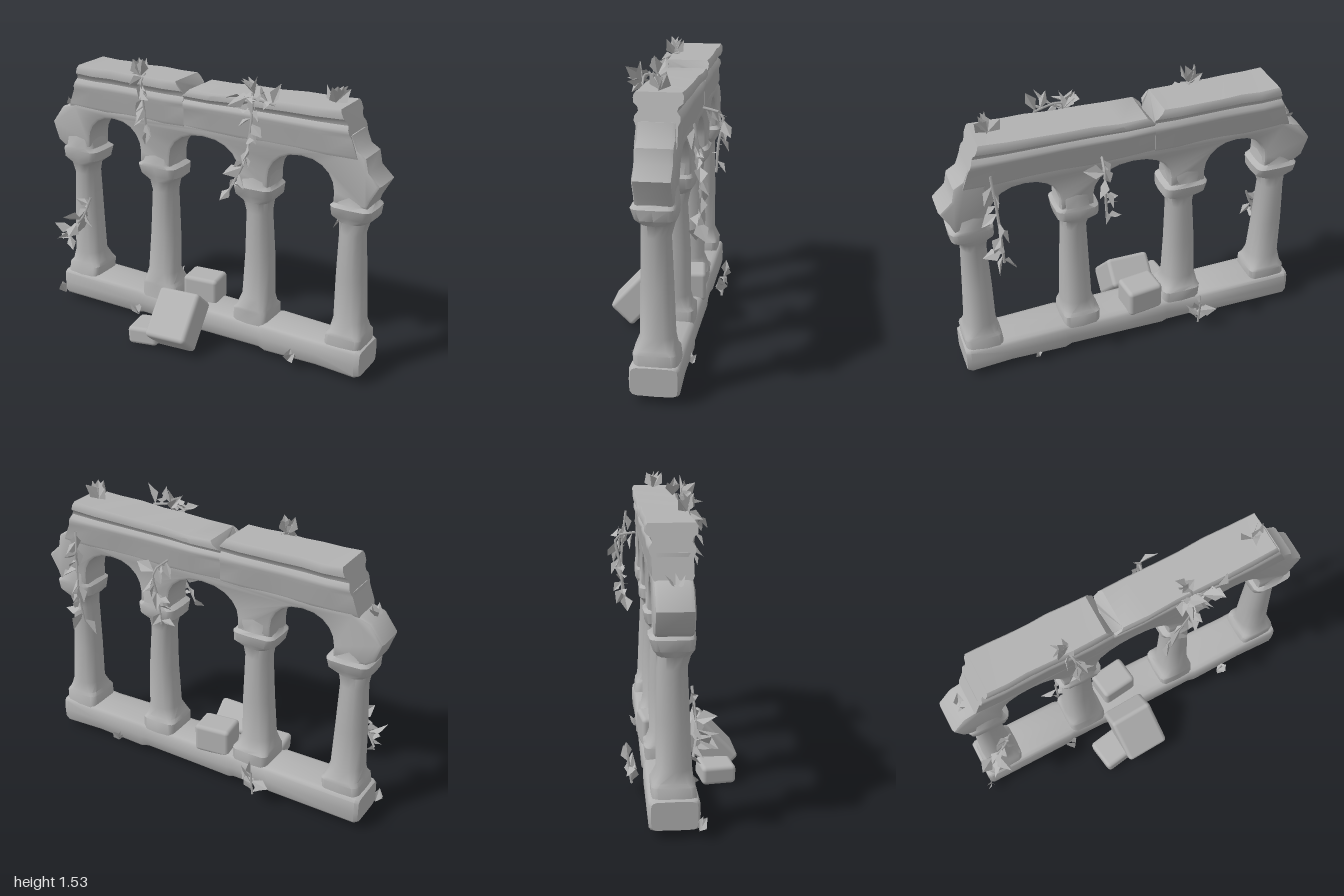
import * as THREE from 'three';
import { mergeGeometries, toCreasedNormals } from 'three/addons/utils/BufferGeometryUtils.js';
import { RoundedBoxGeometry } from 'three/addons/geometries/RoundedBoxGeometry.js';

const ZC = -0.045; // middle plane of the wall

let seed = 7;
const rand = () => (seed = (seed * 16807) % 2147483647) / 2147483647;
const spread = (a) => (rand() * 2 - 1) * a;

// Loft of rounded-square sections [height, halfX, halfZ, roundness, offsetX, offsetZ]
function loft(sections, n = 16) {
  const pos = [], idx = [];
  const bend = (v, e) => Math.sign(v) * Math.pow(Math.abs(v), e);
  for (const [y, hx, hz, e, ox = 0, oz = 0] of sections) {
    for (let i = 0; i < n; i++) {
      const a = (i / n) * Math.PI * 2;
      pos.push(ox + hx * bend(Math.cos(a), e), y, oz + hz * bend(Math.sin(a), e));
    }
  }
  const last = (sections.length - 1) * n;
  for (const s of [sections[0], sections[sections.length - 1]]) pos.push(s[4] || 0, s[0], s[5] || 0);
  for (let i = 0; i < n; i++) {
    const j = (i + 1) % n;
    for (let r = 0; r < last; r += n) {
      idx.push(r + i, r + n + i, r + j, r + j, r + n + i, r + n + j);
    }
    idx.push(last + n, i, j, last + n + 1, last + j, last + i);
  }
  const g = new THREE.BufferGeometry();
  g.setAttribute('position', new THREE.Float32BufferAttribute(pos, 3));
  g.setIndex(idx);
  return toCreasedNormals(g, 0.75);
}

// Move every vertex by a rule, then rebuild normals
function reshape(g, rule) {
  const p = g.attributes.position, v = new THREE.Vector3();
  for (let i = 0; i < p.count; i++) {
    rule(v.fromBufferAttribute(p, i));
    p.setXYZ(i, v.x, v.y, v.z);
  }
  return toCreasedNormals(g, 0.75);
}

// Folded diamond leaf pointing along a direction
function leafGeometry(at, dir, size) {
  const w = size * (0.22 + rand() * 0.14), f = size * 0.16;
  const g = new THREE.BufferGeometry();
  g.setAttribute('position', new THREE.Float32BufferAttribute([
    0, 0, 0, 0, size, 0, -w, size * 0.45, f,
    0, 0, 0, w, size * 0.45, f, 0, size, 0], 3));
  g.computeVertexNormals();
  g.rotateY(rand() * Math.PI * 2);
  g.applyQuaternion(new THREE.Quaternion().setFromUnitVectors(new THREE.Vector3(0, 1, 0), dir.normalize()));
  return g.translate(at.x, at.y, at.z);
}

// Stem along a few points, with leaves leaning towards a bias direction
function vineGeometry(points, count, size, bias) {
  const curve = new THREE.CatmullRomCurve3(points.map((p) => new THREE.Vector3(...p)));
  const stem = new THREE.TubeGeometry(curve, 10, 0.007, 4).toNonIndexed();
  stem.deleteAttribute('uv');
  const parts = [stem];
  for (let i = 0; i < count; i++) {
    const dir = new THREE.Vector3(bias[0] + spread(0.9), bias[1] + spread(0.7), bias[2] + spread(0.4));
    parts.push(leafGeometry(curve.getPoint((i + 0.5) / count), dir, size * (0.75 + rand() * 0.5)));
  }
  return mergeGeometries(parts);
}

export function createModel() {
  const model = new THREE.Group();
  const stone = new THREE.MeshStandardMaterial({ color: 0xb2b2b2, side: THREE.DoubleSide });
  stone.name = 'grey stone';
  const add = (name, geometry, x = 0, y = 0, z = 0) => {
    const mesh = new THREE.Mesh(geometry, stone);
    mesh.name = name;
    mesh.position.set(x, y, z);
    model.add(mesh);
    return mesh;
  };

  // Long footing, slightly uneven from stone to stone
  const footing = loft([
    [-0.94, 0.07, 0.11, 0.3], [-0.92, 0.079, 0.122, 0.3], [-0.42, 0.079, 0.12, 0.36],
    [-0.39, 0.072, 0.113, 0.4], [-0.2, 0.074, 0.115, 0.45], [-0.17, 0.079, 0.12, 0.4],
    [0.06, 0.076, 0.118, 0.42], [0.36, 0.074, 0.116, 0.45], [0.4, 0.08, 0.122, 0.34],
    [0.7, 0.076, 0.118, 0.4], [0.92, 0.08, 0.122, 0.3], [0.945, 0.07, 0.112, 0.3]]);
  add('footing', footing.rotateZ(-Math.PI / 2), 0, 0.118, ZC);

  // Columns: plinth, tapering shaft, flared capital and springing stone
  const columnProfile = [
    [0.17, 0.108, 0.108, 0.35], [0.245, 0.106, 0.106, 0.35], [0.262, 0.095, 0.1, 0.5],
    [0.32, 0.088, 0.085, 0.85], [0.55, 0.08, 0.08, 0.9], [0.8, 0.069, 0.072, 0.9],
    [0.86, 0.078, 0.08, 0.8], [0.895, 0.115, 0.098, 0.45], [0.948, 0.118, 0.108, 0.4],
    [0.965, 0.095, 0.1, 0.5], [1.02, 0.088, 0.093, 0.45], [1.08, 0.085, 0.082, 0.4]];
  [[-0.82, 1], [-0.293, 1.03], [0.297, 0.97], [0.833, 0.96]].forEach(([x, s], k) => {
    const rows = columnProfile.map(([y, hx, hz, e], i) =>
      [y, hx * s, hz, e, 0.006 * Math.sin(k * 2 + i), 0.005 * Math.cos(k + i * 2)]);
    add('column', loft(rows), x, 0, ZC);
  });

  // Arcade wall: broken outer edge, three arches cut from below
  const wall = new THREE.Shape();
  wall.moveTo(-0.91, 0.96);
  for (const [l, r] of [[-0.735, -0.395], [-0.205, 0.21], [0.385, 0.745]]) {
    const c = (l + r) / 2, h = (r - l) / 2;
    wall.lineTo(l, 0.96);
    wall.lineTo(l, 1.02);
    for (let i = 1; i < 10; i++) {
      const a = Math.PI * (1 - i / 10);
      wall.lineTo(c + h * Math.sign(Math.cos(a)) * Math.pow(Math.abs(Math.cos(a)), 0.9), 1.02 + 0.147 * Math.sin(a));
    }
    wall.lineTo(r, 1.02);
    wall.lineTo(r, 0.96);
  }
  [[0.925, 0.96], [0.94, 1.0], [0.99, 1.09], [0.925, 1.15], [0.91, 1.22], [0.86, 1.25], [0.83, 1.32],
    [-0.82, 1.32], [-0.84, 1.21], [-0.92, 1.185], [-0.99, 1.09], [-0.955, 0.99]]
    .forEach(([x, y]) => wall.lineTo(x, y));
  const wallGeometry = new THREE.ExtrudeGeometry(wall, {
    depth: 0.14, bevelThickness: 0.022, bevelSize: 0.016, bevelOffset: -0.016, bevelSegments: 2 });
  add('arcadeWall', toCreasedNormals(wallGeometry, 0.75), 0, 0, ZC - 0.07);

  // Entablature: moulded profile, two stones split by a notch, slanting broken ends
  const profile = new THREE.Shape([
    [-0.088, 1.2], [-0.098, 1.22], [-0.096, 1.3], [-0.108, 1.325], [-0.106, 1.345], [-0.09, 1.365],
    [-0.096, 1.385], [-0.116, 1.4], [-0.118, 1.432], [-0.108, 1.447],
    [0.108, 1.447], [0.118, 1.432], [0.116, 1.4], [0.096, 1.385], [0.09, 1.365], [0.106, 1.345],
    [0.108, 1.325], [0.096, 1.3], [0.098, 1.22], [0.088, 1.2]].map((p) => new THREE.Vector2(...p)));
  const notch = (y) => Math.max(0, y - 1.395);
  const stones = [
    { left: (y) => -0.86 + 0.36 * (y - 1.2), right: (y) => -0.11 - 0.8 * notch(y), drop: 0 },
    { left: (y) => -0.11 + 0.9 * notch(y), right: (y) => 0.87 - 0.38 * (y - 1.2), drop: 0.03 }];
  for (const { left, right, drop } of stones) {
    const g = new THREE.ExtrudeGeometry(profile, { depth: 1, steps: 6, bevelEnabled: false }).rotateY(Math.PI / 2);
    add('entablature', reshape(g, (v) => {
      const t = v.x, lift = THREE.MathUtils.smoothstep(v.y, 1.3, 1.45);
      v.x = THREE.MathUtils.lerp(left(v.y), right(v.y), t);
      v.y -= drop * lift * (1 - t) + 0.005 * lift * Math.abs(Math.sin(t * 9));
      v.z *= 1 + 0.03 * Math.sin(t * 11 + v.y * 9);
    }), 0, 0, ZC);
  }

  // Fallen stones: [width, height, depth, x, y, z, tiltX, turnY, tiltZ]
  [[0.245, 0.165, 0.285, -0.065, 0.163, 0.195, 0.82, 0.06, 0],
    [0.17, 0.1, 0.18, -0.235, 0.062, 0.225, 0, 0.15, 0.06],
    [0.2, 0.16, 0.16, -0.06, 0.245, -0.085, 0, 0.12, 0]].forEach(([w, h, d, x, y, z, rx, ry, rz]) => {
    add('fallenStone', new RoundedBoxGeometry(w, h, d, 2, 0.022), x, y, z).rotation.set(rx, ry, rz);
  });

  // Hanging vines: [stem points, leaf count, leaf size, leaf lean]
  const vines = [
    [[[-0.36, 1.45, 0.03], [-0.34, 1.42, 0.1], [-0.33, 1.28, 0.09], [-0.33, 1.13, 0.07]], 10, 0.085, [0, -0.6, 0.3]],
    [[[0.24, 1.43, 0.08], [0.32, 1.44, 0.1], [0.44, 1.42, 0.09]], 11, 0.1, [0, 0, 0.4]],
    [[[0.3, 1.45, 0.06], [0.31, 1.3, 0.09], [0.27, 1.1, 0.08], [0.18, 0.92, 0.08]], 17, 0.085, [0, -0.7, 0.25]],
    [[[-0.74, 0.68, 0.05], [-0.79, 0.56, 0.06], [-0.86, 0.48, 0.06], [-0.92, 0.4, 0.04]], 13, 0.1, [-0.2, -0.3, 0.2]],
    [[[0.74, 1.3, -0.2], [0.73, 1.15, -0.22], [0.72, 0.95, -0.23], [0.71, 0.78, -0.21]], 13, 0.09, [0, -0.6, -0.2]],
    [[[0.18, 1.26, -0.17], [0.2, 1.23, -0.27], [0.19, 1.08, -0.25], [0.18, 0.93, -0.24]], 11, 0.09, [0, -0.6, -0.2]],
    [[[-0.36, 0.05, -0.22], [-0.36, 0.12, -0.23], [-0.36, 0.2, -0.24]], 7, 0.09, [0, 0.6, -0.1]]];
  vines.forEach((v) => add('vine', vineGeometry(...v)));

  // Small tufts: [x, y, z, leaf count, leaf size]
  [[-0.37, 1.44, 0.06, 7, 0.1], [0.3, 1.44, 0.04, 4, 0.1], [0.7, 1.44, -0.04, 6, 0.1],
    [-0.91, 1.17, -0.04, 3, 0.08], [0.55, 0.04, 0.085, 4, 0.09], [-0.4, 0.05, 0.085, 4, 0.09],
    [-0.94, 0.04, 0.07, 3, 0.08], [0.55, 0.04, -0.17, 3, 0.07]].forEach(([x, y, z, n, size]) => {
    const leaves = [];
    for (let i = 0; i < n; i++) {
      leaves.push(leafGeometry(new THREE.Vector3(), new THREE.Vector3(spread(0.8), 0.8, spread(0.6)), size));
    }
    add('tuft', mergeGeometries(leaves), x, y, z);
  });

  return model;
}
